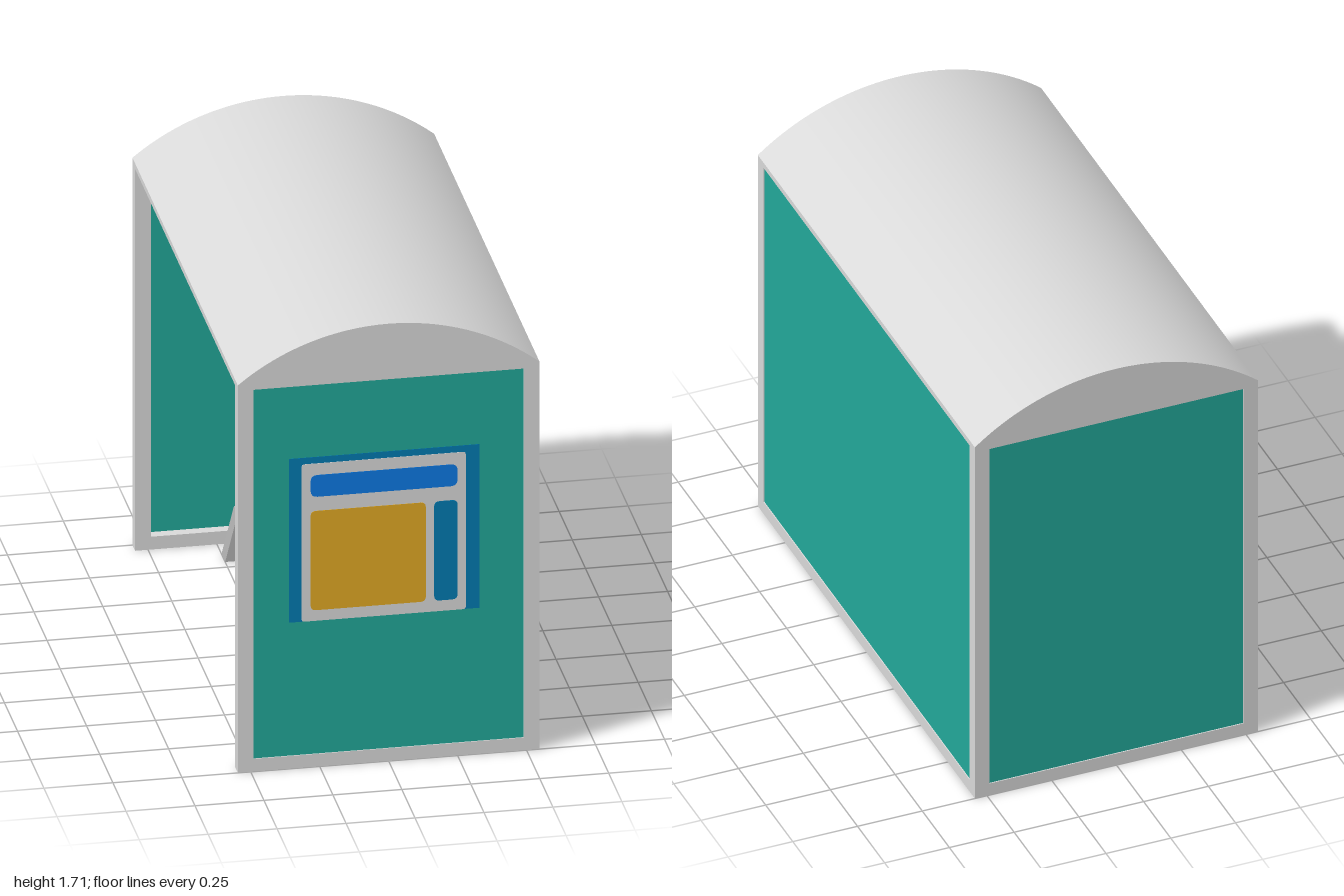
import * as THREE from 'three';
import { toCreasedNormals } from 'three/addons/utils/BufferGeometryUtils.js';

const W = 0.547, D = 1, EAVE = 1.515, TOP = 1.71, BAR = 0.05, POST = 0.057, HEAD = 1.493;
const SKIN = 0.006, INSET = 0.007; // panel thickness, and depth of its middle below the outside

function makeMaterial(name, color) {
  const m = new THREE.MeshStandardMaterial({ color });
  m.name = name;
  return m;
}

export function createModel() {
  const mats = {
    metal: makeMaterial('light grey metal', 0xd9d9d9),
    legMetal: makeMaterial('mid grey metal', 0xb0b0b0),
    teal: makeMaterial('teal panel', 0x22a899),
    wood: makeMaterial('brown wood', 0xba783e),
    deepBlue: makeMaterial('deep blue', 0x007bb2),
    blue: makeMaterial('bright blue', 0x0d7ae4),
    ochre: makeMaterial('ochre', 0xe2aa25),
  };
  const model = new THREE.Group();
  model.name = 'shelter';

  const add = (name, geo, mat, parent = model) => {
    const mesh = new THREE.Mesh(geo, mat);
    mesh.name = name;
    parent.add(mesh);
    return mesh;
  };
  // Box given by its two opposite corners
  const box = (name, mat, x0, x1, y0, y1, z0, z1, parent = model) => {
    const mesh = add(name, new THREE.BoxGeometry(x1 - x0, y1 - y0, z1 - z0), mat, parent);
    mesh.position.set((x0 + x1) / 2, (y0 + y1) / 2, (z0 + z1) / 2);
    return mesh;
  };
  // Side profile in x and y, extruded along z and centred on z
  const slab = (shape, depth, z = 0, segments = 12) =>
    new THREE.ExtrudeGeometry(shape, { depth, bevelEnabled: false, curveSegments: segments })
      .translate(0, 0, z - depth / 2);
  const polygon = (pts) => new THREE.Shape(pts.map(([x, y]) => new THREE.Vector2(x, y)));

  // Arched roof, solid down to the head of the frame
  const rise = TOP - EAVE;
  const radius = (W * W + rise * rise) / (2 * rise);
  const half = Math.asin(W / radius);
  const roof = new THREE.Shape();
  roof.moveTo(-W, HEAD);
  roof.lineTo(W, HEAD);
  roof.lineTo(W, EAVE);
  roof.absarc(0, TOP - radius, radius, Math.PI / 2 - half, Math.PI / 2 + half, false);
  roof.closePath();
  add('roof', toCreasedNormals(slab(roof, 2 * D, 0, 32), 0.5), mats.metal);

  // End walls: two posts, a sill and a thin panel near the outer face
  for (const s of [1, -1]) {
    const wall = new THREE.Group();
    wall.name = s > 0 ? 'frontWall' : 'backWall';
    model.add(wall);
    const zIn = Math.min(s * (D - BAR), s * D), zOut = zIn + BAR;
    for (const side of [1, -1]) {
      const a = side * W, b = side * (W - POST);
      box('post', mats.metal, Math.min(a, b), Math.max(a, b), 0, HEAD, zIn, zOut, wall);
    }
    box('sill', mats.metal, -W + POST, W - POST, 0, BAR, zIn, zOut, wall);
    const panel = box('panel', mats.teal, -W + POST, W - POST, BAR, HEAD, -SKIN / 2, SKIN / 2, wall);
    panel.position.z = s * (D - INSET);
  }

  // Closed long wall on +x
  const sideWall = new THREE.Group();
  sideWall.name = 'sideWall';
  model.add(sideWall);
  box('sill', mats.metal, W - BAR, W, 0, BAR, -D + BAR, D - BAR, sideWall);
  box('panel', mats.teal, W - INSET - SKIN / 2, W - INSET + SKIN / 2, BAR, HEAD,
    -D + BAR, D - BAR, sideWall);

  // Poster board in thin layers, shown on both faces of the front panel
  const roundedRect = (x0, x1, y0, y1, r) => {
    const s = new THREE.Shape();
    s.moveTo(x0 + r, y0);
    s.lineTo(x1 - r, y0);
    s.quadraticCurveTo(x1, y0, x1, y0 + r);
    s.lineTo(x1, y1 - r);
    s.quadraticCurveTo(x1, y1, x1 - r, y1);
    s.lineTo(x0 + r, y1);
    s.quadraticCurveTo(x0, y1, x0, y1 - r);
    s.lineTo(x0, y0 + r);
    s.quadraticCurveTo(x0, y0, x0 + r, y0);
    return s;
  };
  const layers = [
    ['posterBacking', mats.deepBlue, -0.36, 0.33, 0.57, 1.21, 0.001, 1],
    ['posterFrame', mats.metal, -0.315, 0.28, 0.57, 1.185, 0.01, 2],
    ['posterHeader', mats.blue, -0.283, 0.25, 1.055, 1.14, 0.025, 3],
    ['posterPicture', mats.ochre, -0.283, 0.135, 0.612, 1.0, 0.02, 3],
    ['posterStrip', mats.deepBlue, 0.165, 0.25, 0.612, 1.0, 0.02, 3],
  ];
  for (const s of [1, -1]) {
    const poster = new THREE.Group();
    poster.name = s > 0 ? 'outerPoster' : 'innerPoster';
    model.add(poster);
    const face = D - INSET + s * SKIN / 2;
    for (const [name, mat, x0, x1, y0, y1, r, level] of layers) {
      const t = level * 0.0012;
      add(name, slab(roundedRect(x0, x1, y0, y1, r), t, face + s * t / 2, 4), mat, poster);
    }
  }

  // Bench facing the open side
  const bench = new THREE.Group();
  bench.name = 'bench';
  model.add(bench);
  const seat = polygon([
    [-0.2, 0.182], [0.19, 0.182], [0.285, 0.578], [0.22, 0.573],
    [0.12, 0.248], [0.03, 0.258], [-0.085, 0.268], [-0.15, 0.26], [-0.2, 0.245],
  ]);
  add('seatAndBackrest', slab(seat, 1.74), mats.wood, bench);

  // Splayed, tapering legs and the flat rails that join them
  for (const s of [1, -1]) {
    const pts = [[0.182, 0], [0.25, 0], [0.205, 0.183], [0.09, 0.183]].map(([x, y]) => [s * x, y]);
    const leg = polygon(pts);
    for (const z of [0.83, -0.83]) add('leg', slab(leg, 0.07, z), mats.legMetal, bench);
    box('rail', mats.legMetal, s * 0.17 - 0.028, s * 0.17 + 0.028, 0.163, 0.183, -0.8, 0.8, bench);
  }
  return model;
}
